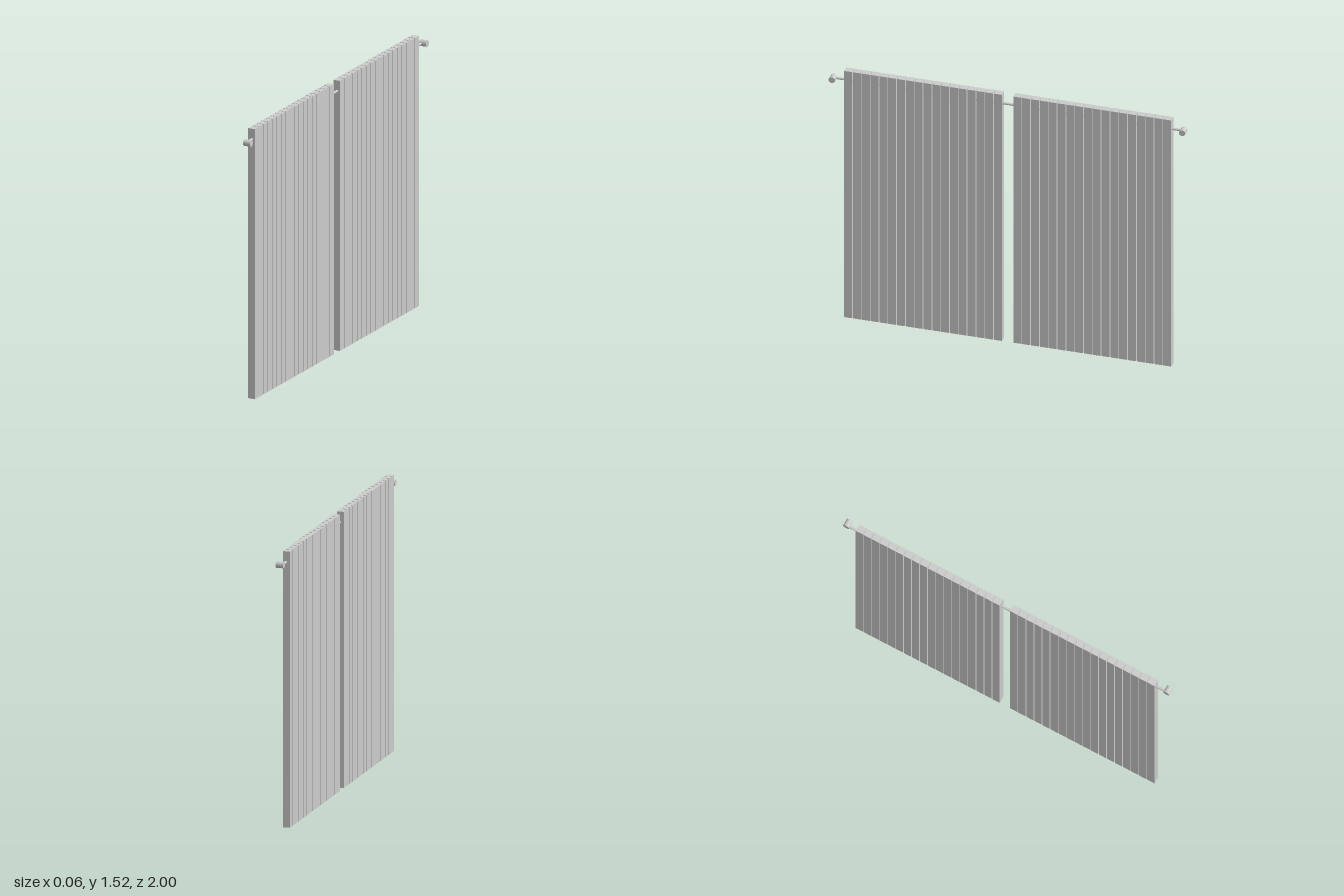
import * as THREE from 'three';

const HEIGHT = 1.525, DEPTH = 0.04, SLATS = 18, WIDTH = 0.045;
const Z_INNER = 0.032, Z_OUTER = 0.917, ROD_Y = 1.465;

export function createModel() {
  const model = new THREE.Group();
  model.name = 'verticalBlind';
  const material = new THREE.MeshStandardMaterial({ color: 0xcccccc });
  const add = (parent, name, geometry, x, y, z) => {
    const mesh = new THREE.Mesh(geometry, material);
    mesh.name = name;
    mesh.position.set(x, y, z);
    parent.add(mesh);
  };

  const slat = new THREE.BoxGeometry(DEPTH, HEIGHT, WIDTH);
  const finial = new THREE.CylinderGeometry(0.018, 0.018, 0.042, 20).rotateZ(Math.PI / 2);
  const pitch = (Z_OUTER - Z_INNER - WIDTH) / (SLATS - 1);

  // Two mirrored panels of upright slats, each with a finial beyond its outer edge
  for (const side of [1, -1]) {
    const panel = new THREE.Group();
    panel.name = side > 0 ? 'frontPanel' : 'backPanel';
    for (let i = 0; i < SLATS; i++) {
      add(panel, 'slat', slat, -0.01, HEIGHT / 2, side * (Z_INNER + WIDTH / 2 + i * pitch));
    }
    model.add(panel);
    add(model, 'finial', finial, 0.004, ROD_Y, side * 0.982);
  }

  // Rod running through both panels
  const rod = new THREE.CylinderGeometry(0.007, 0.007, 1.96, 16).rotateX(Math.PI / 2);
  add(model, 'rod', rod, -0.007, ROD_Y, 0);

  // Very slight turn of the whole assembly
  model.rotation.y = -0.002;
  return model;
}
